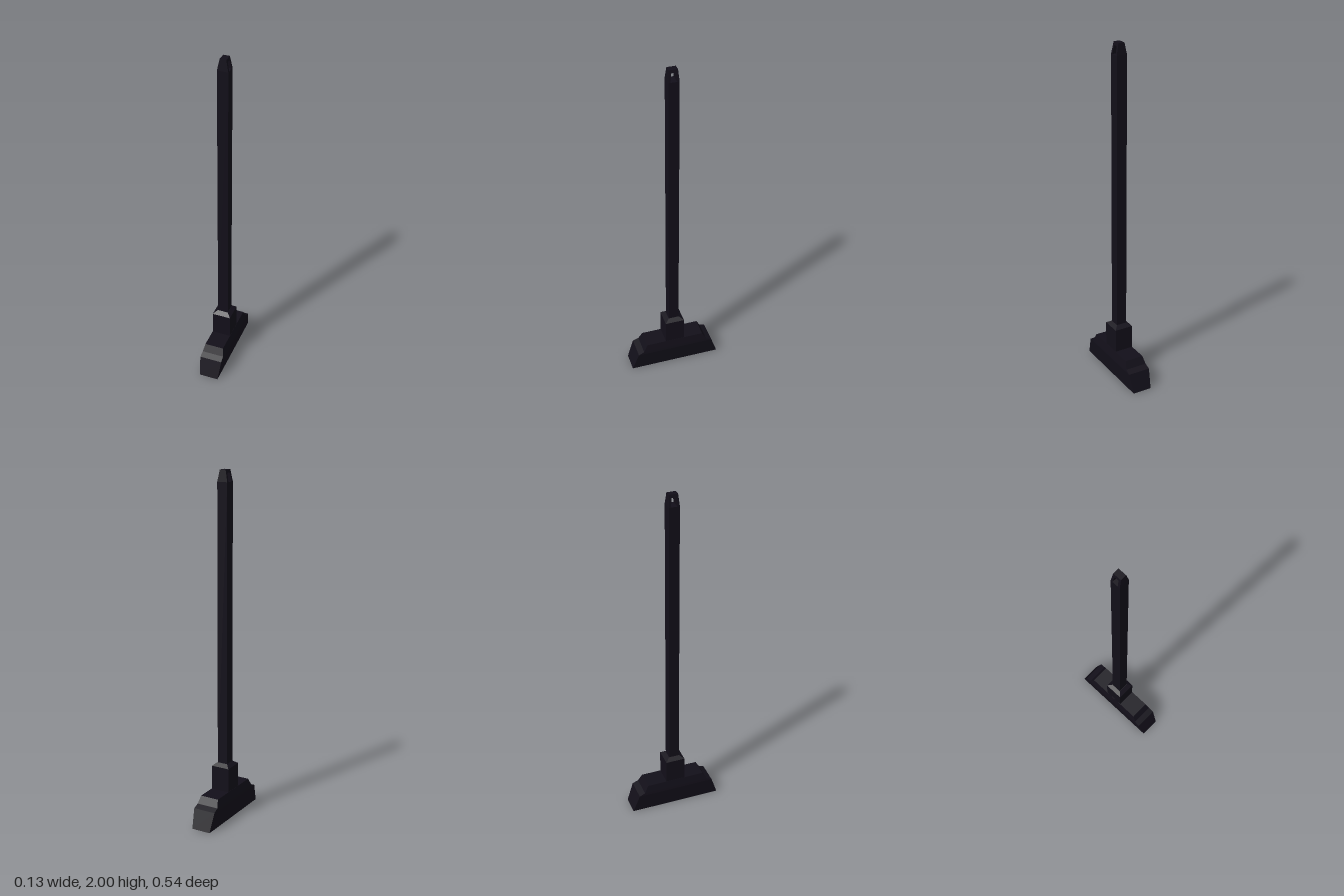
import * as THREE from 'three';

const material = new THREE.MeshStandardMaterial({ color: 0x120f19, flatShading: true });

// Closed loft through rectangular sections [y, halfX, halfZ], bottom to top
function rectLoft(name, sections) {
  const pos = [], idx = [];
  for (const [y, x, z] of sections) pos.push(-x, y, z, x, y, z, x, y, -z, -x, y, -z);
  for (let s = 0; s < sections.length - 1; s++) {
    for (let i = 0; i < 4; i++) {
      const a = s * 4 + i, b = s * 4 + (i + 1) % 4;
      idx.push(a, b, b + 4, a, b + 4, a + 4);
    }
  }
  const t = (sections.length - 1) * 4;
  idx.push(0, 2, 1, 0, 3, 2, t, t + 1, t + 2, t, t + 2, t + 3);
  const indexed = new THREE.BufferGeometry();
  indexed.setAttribute('position', new THREE.Float32BufferAttribute(pos, 3));
  indexed.setIndex(idx);
  const geo = indexed.toNonIndexed();
  geo.computeVertexNormals();
  const mesh = new THREE.Mesh(geo, material);
  mesh.name = name;
  return mesh;
}

// Arch at the tip of the handle, open along x and narrowing upward
function hangingLoop() {
  const base = 1.935, top = 2;
  const shape = new THREE.Shape([
    [-0.03, base], [-0.018, base], [-0.012, 1.983], [0.012, 1.983],
    [0.018, base], [0.03, base], [0.025, top], [-0.025, top],
  ].map(([x, y]) => new THREE.Vector2(x, y)));
  const geo = new THREE.ExtrudeGeometry(shape, { depth: 2, bevelEnabled: false });
  geo.translate(0, 0, -1).rotateY(Math.PI / 2);
  const p = geo.attributes.position;
  for (let i = 0; i < p.count; i++) {
    const k = (p.getY(i) - base) / (top - base);
    p.setX(i, p.getX(i) * THREE.MathUtils.lerp(0.031, 0.018, k));
  }
  geo.computeVertexNormals();
  const mesh = new THREE.Mesh(geo, material);
  mesh.name = 'hangingLoop';
  return mesh;
}

export function createModel() {
  const group = new THREE.Group();
  group.name = 'broom';
  group.add(
    // Flared head with stepped shoulders
    rectLoft('head', [
      [0, 0.057, 0.27], [0.11, 0.067, 0.232], [0.125, 0.065, 0.198], [0.168, 0.056, 0.175],
    ]),
    // Socket with a chamfered rim
    rectLoft('socket', [[0.15, 0.055, 0.057], [0.31, 0.055, 0.057], [0.328, 0.032, 0.032]]),
    rectLoft('handle', [[0.3, 0.031, 0.03], [1.935, 0.031, 0.03]]),
    hangingLoop(),
  );
  return group;
}
